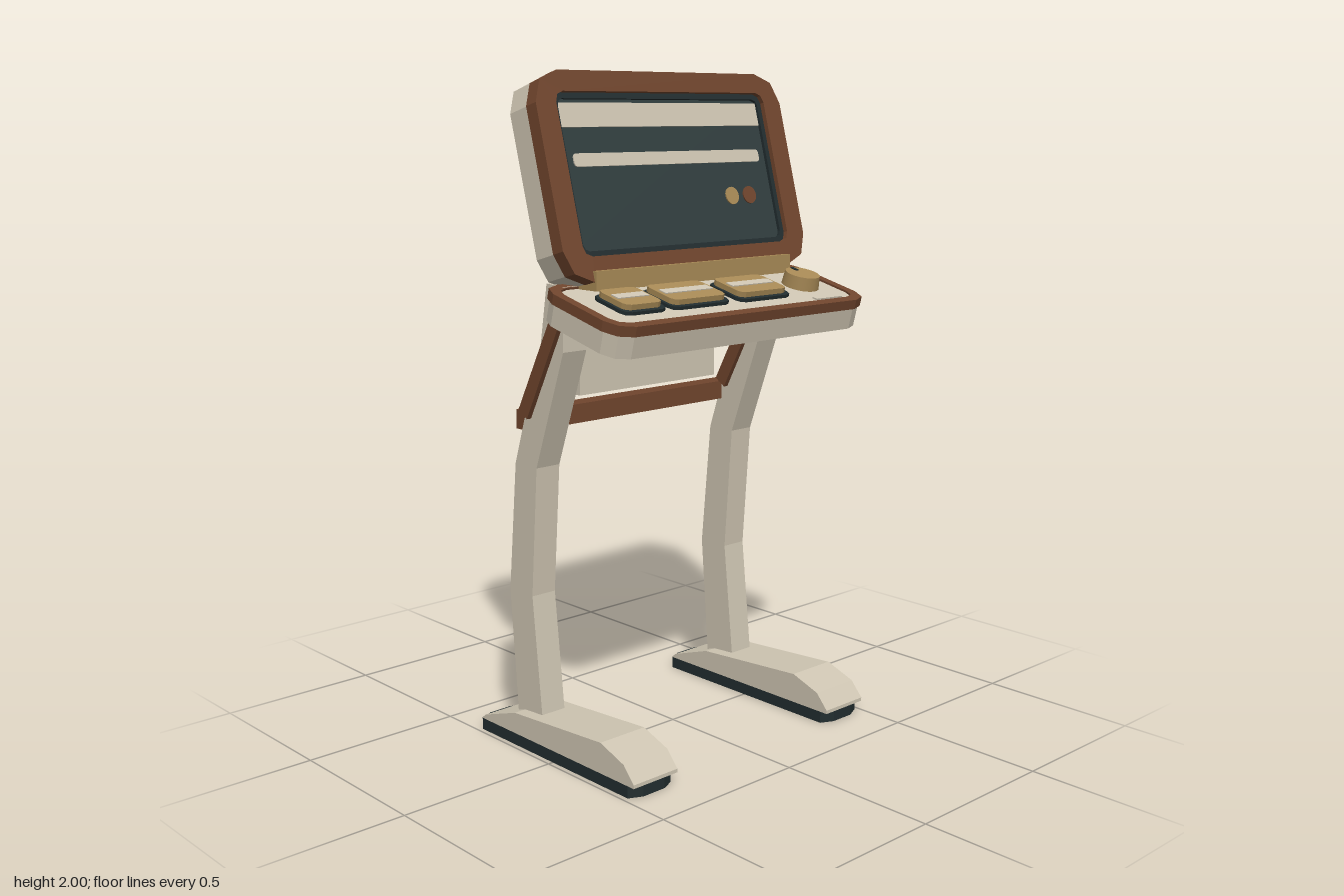
import * as THREE from 'three';

const mat = (name, color) => {
  const m = new THREE.MeshStandardMaterial({ color });
  m.name = name;
  return m;
};

export function createModel() {
  const cream = mat('cream', 0xcec5b2);
  const brown = mat('brown', 0x70452d);
  const gold = mat('gold', 0xa88a56);
  const dark = mat('dark', 0x222d2f);
  const slate = mat('slate', 0x303d3e);

  const root = new THREE.Group();
  root.name = 'kiosk';

  const add = (parent, name, geometry, material, x = 0, y = 0, z = 0) => {
    const mesh = new THREE.Mesh(geometry, material);
    mesh.name = name;
    mesh.position.set(x, y, z);
    parent.add(mesh);
    return mesh;
  };
  const box = (w, h, d) => new THREE.BoxGeometry(w, h, d);

  // Corner points of a rectangle with faceted round corners
  const roundPoints = (w, h, r, seg = 2) => {
    const pts = [];
    [[1, 1], [-1, 1], [-1, -1], [1, -1]].forEach(([sx, sy], i) => {
      for (let k = 0; k <= seg; k++) {
        const a = (i + k / seg) * Math.PI / 2;
        pts.push(new THREE.Vector2(
          sx * (w / 2 - r) + r * Math.cos(a), sy * (h / 2 - r) + r * Math.sin(a)));
      }
    });
    return pts;
  };
  const extrude = (shape, depth) =>
    new THREE.ExtrudeGeometry(shape, { depth, bevelEnabled: false });
  // Upright plate from z = 0 to z = depth, with an optional opening
  const plate = (w, h, r, depth, hole) => {
    const shape = new THREE.Shape(roundPoints(w, h, r));
    if (hole) {
      const path = new THREE.Path(roundPoints(hole.w, hole.h, hole.r));
      path.curves.forEach((c) => {
        c.v1.y += hole.y || 0;
        c.v2.y += hole.y || 0;
      });
      shape.holes.push(path);
    }
    return extrude(shape, depth);
  };
  // The same plate lying flat, from y = 0 to y = depth
  const flatPlate = (...args) => plate(...args).rotateX(-Math.PI / 2);
  // Side profile in (z, y), extruded across x
  const sideProfile = (points, width) => {
    const shape = new THREE.Shape(points.map(([z, y]) => new THREE.Vector2(z, y)));
    return extrude(shape, width).translate(0, 0, -width / 2).rotateY(-Math.PI / 2);
  };

  // Legs, feet and braces
  for (const side of [1, -1]) {
    const leg = new THREE.Group();
    leg.name = side > 0 ? 'leftStand' : 'rightStand';
    leg.position.x = side * 0.402;
    root.add(leg);

    const sole = new THREE.Shape([
      [-0.04, -0.355], [0.04, -0.355], [0.082, -0.335], [0.082, 0.347],
      [0.038, 0.365], [-0.038, 0.365], [-0.082, 0.347], [-0.082, -0.335],
    ].map(([x, y]) => new THREE.Vector2(x, y)));
    add(leg, 'sole', extrude(sole, 0.037).rotateX(-Math.PI / 2), dark);
    add(leg, 'foot', sideProfile([
      [0.362, 0.037], [0.362, 0.048], [0.32, 0.095], [0.22, 0.13],
      [-0.18, 0.102], [-0.33, 0.052], [-0.348, 0.037],
    ], 0.166), cream);
    add(leg, 'curvedLeg', sideProfile([
      [-0.095, 0.09], [-0.135, 0.47], [-0.105, 0.865], [0.025, 1.22], [0.03, 1.405],
      [-0.045, 1.41], [-0.085, 1.18], [-0.16, 1.0], [-0.205, 0.865], [-0.243, 0.47], [-0.213, 0.09],
    ], 0.085), cream);
    add(leg, 'brace', sideProfile([
      [0.027, 1.30], [-0.008, 1.325], [-0.165, 1.035], [-0.127, 1.01],
    ], 0.116), brown);
  }

  add(root, 'crossbar', box(0.86, 0.058, 0.062), brown, 0, 0.995, -0.185);

  // Rear electronics box with vents and screws
  add(root, 'rearBox', box(0.555, 0.28, 0.1), cream, 0, 1.2, -0.155);
  for (let i = 0; i < 8; i++) {
    add(root, 'vent', box(0.022, 0.045, 0.006), dark, (i - 3.5) * 0.052, 1.14, -0.206);
  }
  for (const x of [-0.24, 0.24]) {
    add(root, 'screw', new THREE.CylinderGeometry(0.011, 0.011, 0.012, 10).rotateX(Math.PI / 2),
      dark, x, 1.285, -0.208);
  }

  // Sloping control console, its rim top at local y = 0
  const consoleGroup = new THREE.Group();
  consoleGroup.name = 'console';
  consoleGroup.position.set(0, 1.368, 0.172);
  consoleGroup.rotation.x = 0.25;
  root.add(consoleGroup);
  add(consoleGroup, 'consoleBody', flatPlate(1.005, 0.335, 0.06, 0.065), cream, 0, -0.095, 0);
  add(consoleGroup, 'consoleRim',
    flatPlate(1.02, 0.345, 0.065, 0.03, { w: 0.962, h: 0.283, r: 0.045 }), brown, 0, -0.03, 0);
  add(consoleGroup, 'consolePanel', flatPlate(0.964, 0.285, 0.045, 0.024), cream, 0, -0.03, 0);

  // Wide keys: left edge, right edge
  for (const [x0, x1] of [[-0.41, -0.25], [-0.233, -0.002], [0.034, 0.252]]) {
    const x = (x0 + x1) / 2;
    const w = x1 - x0;
    add(consoleGroup, 'keySurround', flatPlate(w, 0.148, 0.025, 0.012), dark, x, -0.008, 0.01);
    add(consoleGroup, 'keyCap', flatPlate(w - 0.022, 0.128, 0.02, 0.026), gold, x, -0.006, 0.006);
    add(consoleGroup, 'keyLabel', box(w - 0.045, 0.004, 0.031), cream, x, 0.021, 0.005);
  }

  // Dial and small name plate
  add(consoleGroup, 'dial', new THREE.CylinderGeometry(0.054, 0.058, 0.042, 20), gold, 0.37, 0.014, 0.005);
  add(consoleGroup, 'dialPointer', box(0.011, 0.004, 0.024), dark, 0.37, 0.036, -0.03);
  add(consoleGroup, 'blankPlate', box(0.115, 0.005, 0.018), cream, 0.372, -0.004, 0.119);

  // Hinge strip joining console and display
  add(root, 'hingeStrip', box(0.785, 0.056, 0.1), gold, 0, 1.424, 0.062);

  // Tilted display, the frame front at local z = 0
  const display = new THREE.Group();
  display.name = 'display';
  display.position.set(0, 1.711, 0.026);
  display.rotation.x = -0.267;
  root.add(display);
  add(display, 'displayShell', plate(0.965, 0.596, 0.09, 0.08), cream, 0, 0, -0.124);
  add(display, 'displayFrame',
    plate(0.97, 0.6, 0.092, 0.045, { w: 0.826, h: 0.468, r: 0.03, y: 0.006 }), brown, 0, 0, -0.045);
  add(display, 'screenBezel',
    plate(0.828, 0.47, 0.03, 0.03, { w: 0.795, h: 0.434, r: 0.02 }), dark, 0, 0.006, -0.045);
  add(display, 'screen', plate(0.8, 0.44, 0.02, 0.02), slate, 0, 0.006, -0.045);

  // Screen graphics
  const front = -0.023;
  add(display, 'headerBar', box(0.79, 0.07, 0.004), cream, 0, 0.178, front);
  add(display, 'textBar', plate(0.74, 0.038, 0.01, 0.004), cream, 0, 0.049, front - 0.002);
  for (const [x, m] of [[0.225, gold], [0.3, brown]]) {
    add(display, 'statusDot', new THREE.CylinderGeometry(0.027, 0.027, 0.004, 20).rotateX(Math.PI / 2),
      m, x, -0.073, front);
  }

  return root;
}
